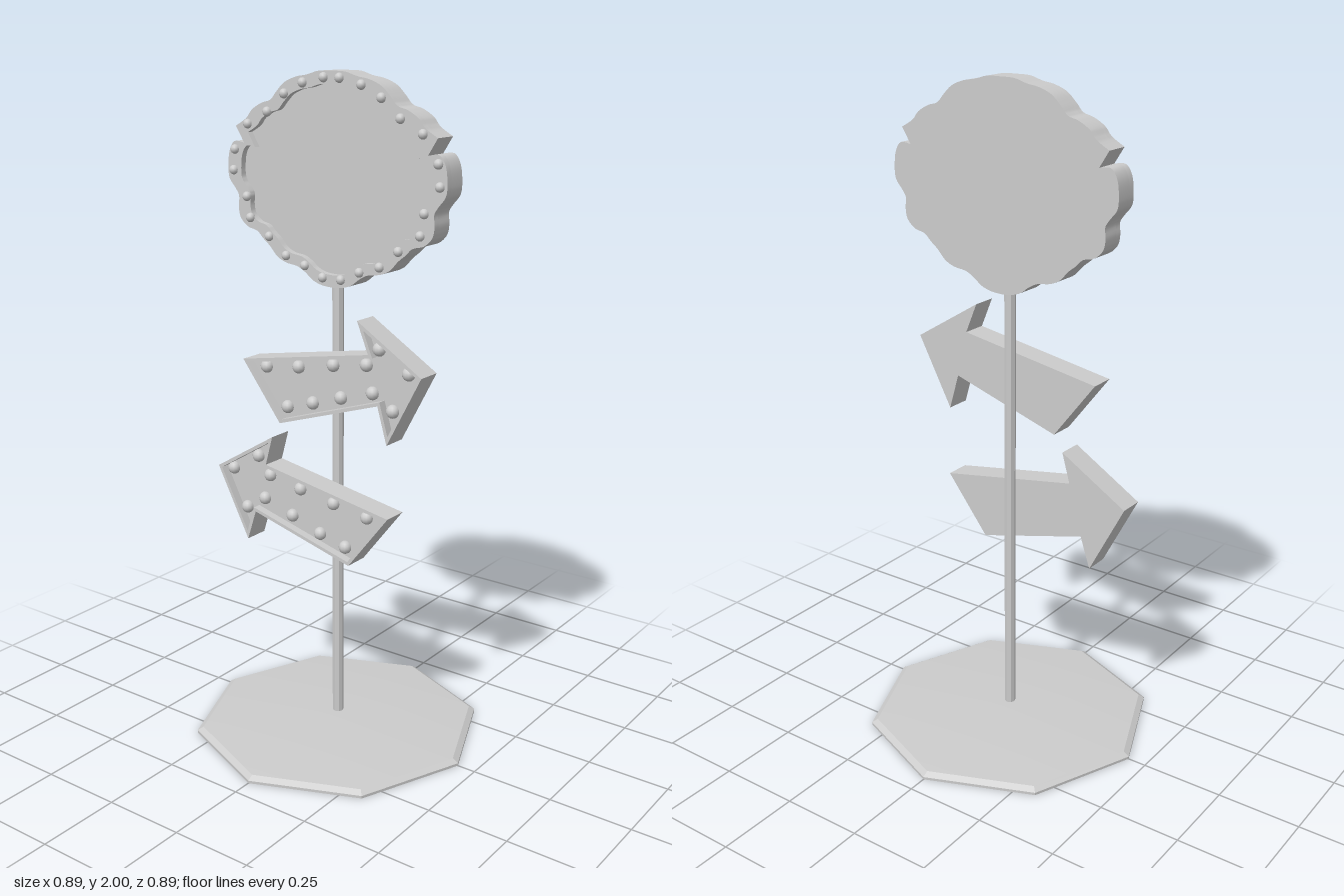
import * as THREE from 'three';
import { toCreasedNormals } from 'three/addons/utils/BufferGeometryUtils.js';

const material = new THREE.MeshStandardMaterial({ color: 0xcccccc });

const vec = ([x, y]) => new THREE.Vector2(x, y);

function add(parent, name, geometry) {
  const mesh = new THREE.Mesh(geometry, material);
  mesh.name = name;
  parent.add(mesh);
  return mesh;
}

// Flat plate between two depths, with an optional hole wound against the clockwise outline
function plate(outline, z0, z1, hole) {
  const shape = new THREE.Shape(outline);
  if (hole) shape.holes.push(new THREE.Path([...hole].reverse()));
  const geometry = new THREE.ExtrudeGeometry(shape, { depth: z1 - z0, bevelEnabled: false });
  return toCreasedNormals(geometry.translate(0, 0, z0), 0.6);
}

// Moves a clockwise outline inward by a constant wall thickness
function inset(points, d) {
  const n = points.length;
  return points.map((p, i) => {
    const a = p.clone().sub(points[(i + n - 1) % n]).normalize();
    const b = points[(i + 1) % n].clone().sub(p).normalize();
    const na = new THREE.Vector2(a.y, -a.x), nb = new THREE.Vector2(b.y, -b.x);
    return na.clone().add(nb).multiplyScalar(d / (1 + na.dot(nb))).add(p);
  });
}

// Shallow tray: back panel plus raised rim
function tray(parent, name, outline, inner, back, floor, front) {
  add(parent, name + 'Panel', plate(outline, back, floor));
  add(parent, name + 'Rim', plate(outline, floor, front, inner));
}

function bulbs(parent, positions, radius, z) {
  const geometry = new THREE.SphereGeometry(radius, 12, 8);
  positions.forEach(([x, y]) => add(parent, 'bulb', geometry).position.set(x, y, z));
}

function arrow(parent, name, corners, lamps) {
  const group = new THREE.Group();
  group.name = name;
  const outline = corners.map(vec);
  tray(group, name, outline, inset(outline, 0.01), 0.018, 0.07, 0.096);
  bulbs(group, lamps, 0.02, 0.073);
  parent.add(group);
}

export function createModel() {
  const model = new THREE.Group();
  model.name = 'signpost';

  // Octagonal foot and pole
  const foot = [[0, 0], [0.443, 0], [0.443, 0.008], [0.425, 0.019], [0, 0.047]].map(vec);
  add(model, 'base', toCreasedNormals(new THREE.LatheGeometry(foot, 8), 0.3));
  add(model, 'pole', toCreasedNormals(new THREE.CylinderGeometry(0.017, 0.017, 1.4, 8).translate(0, 0.72, 0), 0.6));

  // Scalloped sign: right half from top to bottom, with a sharp notch between two curves, mirrored
  const sign = new THREE.Group();
  sign.name = 'sign';
  const upper = [
    [0, 2], [0.045, 1.999], [0.085, 1.988], [0.125, 1.981], [0.165, 1.965], [0.195, 1.938],
    [0.217, 1.915], [0.25, 1.905], [0.285, 1.885], [0.307, 1.86], [0.346, 1.837],
  ];
  const lower = [
    [0.316, 1.79], [0.352, 1.793], [0.372, 1.765], [0.378, 1.72], [0.374, 1.685], [0.352, 1.657],
    [0.339, 1.635], [0.341, 1.603], [0.334, 1.572], [0.308, 1.548], [0.272, 1.538], [0.25, 1.518],
    [0.225, 1.498], [0.198, 1.47], [0.165, 1.455], [0.125, 1.449], [0.095, 1.434], [0.068, 1.414],
    [0.035, 1.403], [0, 1.4],
  ];
  const half = [
    ...new THREE.SplineCurve(upper.map(vec)).getPoints(40),
    ...new THREE.SplineCurve(lower.map(vec)).getPoints(76),
  ];
  const mirrored = half.slice(1, -1).reverse().map((p) => new THREE.Vector2(-p.x, p.y));
  const outline = [...half, ...mirrored];
  const inner = outline.map((p) => new THREE.Vector2(p.x * 0.87, 1.7 + (p.y - 1.7) * 0.88));
  tray(sign, 'sign', outline, inner, -0.045, 0.01, 0.03);
  const lamps = [
    [0.027, 1.982], [0.1, 1.966], [0.166, 1.934], [0.228, 1.882], [0.3, 1.845], [0.35, 1.77],
    [0.356, 1.71], [0.308, 1.636], [0.296, 1.575], [0.226, 1.526], [0.164, 1.476], [0.096, 1.454],
    [0.032, 1.426],
  ];
  bulbs(sign, lamps.flatMap(([x, y]) => [[x, y], [-x, y]]), 0.014, 0.031);
  model.add(sign);

  // Two arrows pointing opposite ways, corners clockwise
  arrow(model, 'upperArrow',
    [[-0.28, 1.163], [0.173, 1.241], [0.135, 1.333], [0.35, 1.2], [0.238, 0.988], [0.206, 1.098], [-0.144, 0.986]],
    [[-0.207, 1.147], [-0.088, 1.163], [0.037, 1.187], [0.153, 1.205], [0.196, 1.256], [0.295, 1.2],
      [0.243, 1.084], [0.174, 1.126], [0.064, 1.094], [-0.037, 1.062], [-0.13, 1.035]]);
  arrow(model, 'lowerArrow',
    [[-0.388, 0.807], [-0.174, 0.937], [-0.2, 0.845], [0.244, 0.768], [0.107, 0.592], [-0.243, 0.685], [-0.275, 0.589]],
    [[-0.344, 0.802], [-0.245, 0.86], [-0.2, 0.807], [-0.085, 0.786], [0.037, 0.766], [0.157, 0.748],
      [0.08, 0.638], [-0.012, 0.66], [-0.116, 0.695], [-0.222, 0.728], [-0.292, 0.685]]);
  return model;
}
